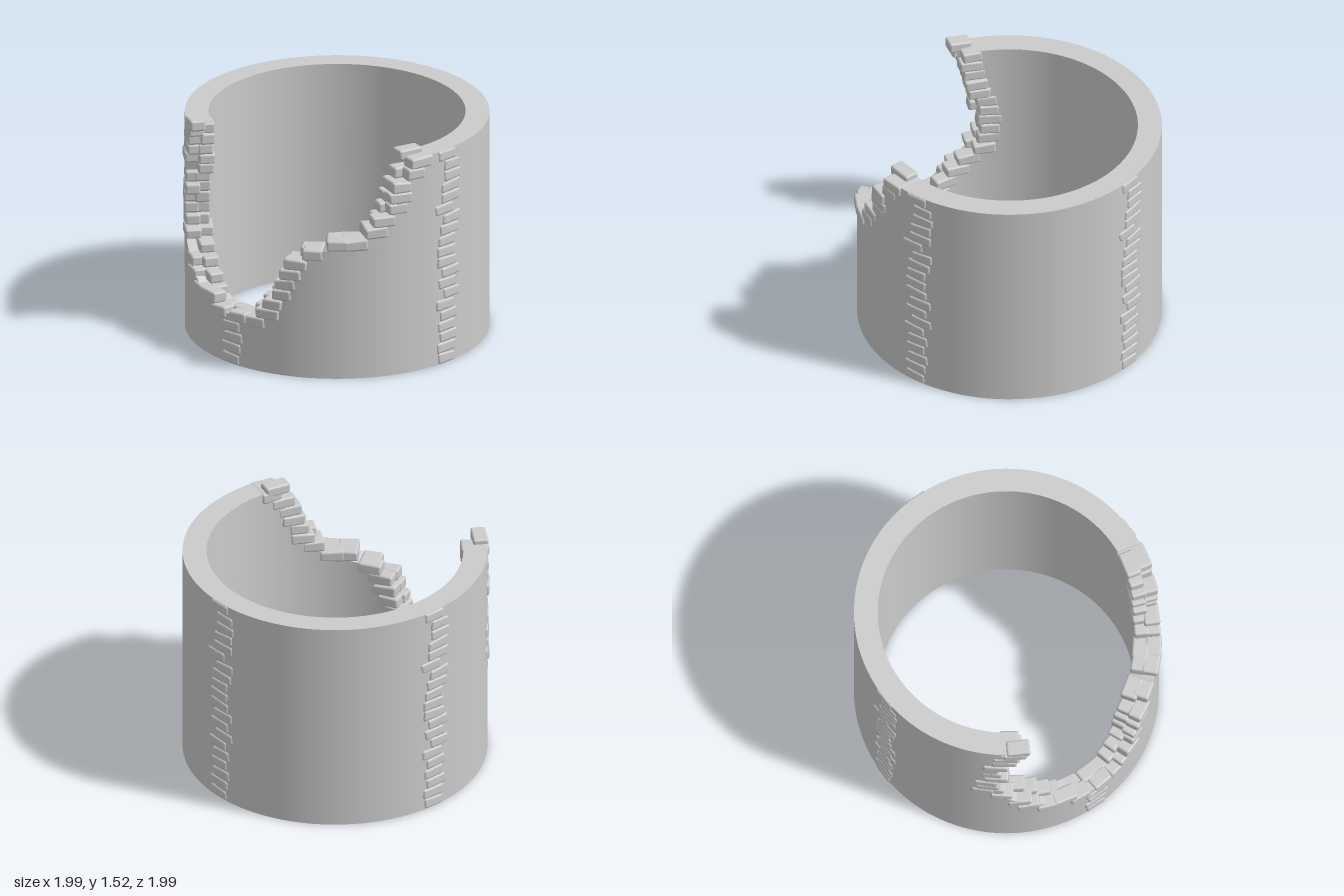
import * as THREE from 'three';
import { ParametricGeometry } from 'three/addons/geometries/ParametricGeometry.js';
import { RoundedBoxGeometry } from 'three/addons/geometries/RoundedBoxGeometry.js';

const OUTER = 0.985, INNER = 0.83, HEIGHT = 1.475, COURSE = HEIGHT / 20;
const RAD = Math.PI / 180;

// Outline of the breach as [angle, height]; angle 0 is -x, 90 is the front
const LOW = [5, 0.32];
const BACK_EDGE = [LOW, [-8, 0.35], [-20, 0.42], [-30, 0.55], [-40, 0.68], [-46, 0.8],
  [-45, 0.95], [-41, 1.1], [-38, 1.3], [-34, HEIGHT]];
const FRONT_EDGE = [LOW, [12, 0.36], [18, 0.5], [24, 0.66], [28, 0.78], [38, 0.88], [47, 0.9],
  [55, 0.96], [61, 1.03], [65, 1.12], [68, 1.25], [72, 1.34], [76, 1.42], [80, HEIGHT]];

let seed = 7;
function rand(range) {
  seed = (seed * 16807) % 2147483647;
  return (seed / 2147483647 * 2 - 1) * range;
}

// Angle of a breach edge at a given height
function edgeAngle(edge, y) {
  if (y <= LOW[1]) return LOW[0];
  for (let i = 1; i < edge.length; i++) {
    const [a0, y0] = edge[i - 1], [a1, y1] = edge[i];
    if (y <= y1) return a0 + (a1 - a0) * (y - y0) / (y1 - y0);
  }
  return edge[edge.length - 1][0];
}

function polar(angle, r, y, target = new THREE.Vector3()) {
  return target.set(-r * Math.cos(angle * RAD), y, r * Math.sin(angle * RAD));
}

export function createModel() {
  const model = new THREE.Group();
  model.name = 'ruinedRoundTower';
  const stone = new THREE.MeshStandardMaterial({ color: 0xcccccc, roughness: 0.9 });
  const mix = THREE.MathUtils.lerp;

  // Wall surfaces, spanning from the front breach edge round to the back one
  const wall = new THREE.Group();
  wall.name = 'wall';
  model.add(wall);
  function surface(name, nu, nv, rule) {
    const mesh = new THREE.Mesh(new ParametricGeometry(rule, nu, nv), stone);
    mesh.name = name;
    wall.add(mesh);
  }
  const around = (t, y) => mix(edgeAngle(FRONT_EDGE, y), edgeAngle(BACK_EDGE, y) + 360, t);
  const upper = v => mix(LOW[1], HEIGHT, v);
  surface('outerFaceLower', 128, 1, (u, v, p) => polar(LOW[0] + 360 * u, OUTER, LOW[1] * v, p));
  surface('innerFaceLower', 128, 1, (u, v, p) => polar(LOW[0] - 360 * u, INNER, LOW[1] * v, p));
  surface('outerFaceUpper', 128, 60, (u, v, p) => polar(around(u, upper(v)), OUTER, upper(v), p));
  surface('innerFaceUpper', 128, 60, (u, v, p) => polar(around(1 - u, upper(v)), INNER, upper(v), p));
  surface('rim', 128, 1, (u, v, p) => polar(around(u, HEIGHT), mix(OUTER, INNER, v), HEIGHT, p));
  surface('base', 128, 1, (u, v, p) => polar(360 * u, mix(INNER, OUTER, v), 0, p));
  surface('frontBreachFace', 1, 60, (u, v, p) =>
    polar(edgeAngle(FRONT_EDGE, upper(v)), mix(INNER, OUTER, u), upper(v), p));
  surface('backBreachFace', 1, 60, (u, v, p) =>
    polar(edgeAngle(BACK_EDGE, upper(v)), mix(OUTER, INNER, u), upper(v), p));

  // One worn stone, slightly skewed, with its local z pointing outward
  function brick(parent, name, angle, r, y, w, h, d, tilt = 0) {
    const geo = new RoundedBoxGeometry(w, h, d, 2, 0.015);
    const pos = geo.attributes.position;
    const taper = rand(1.2), skew = rand(0.12), slope = rand(0.05);
    for (let i = 0; i < pos.count; i++) {
      const x = pos.getX(i), py = pos.getY(i);
      pos.setX(i, x * (1 + taper * py) + skew * py);
      pos.setY(i, py * (1 + slope * x / w * 4) + slope * x);
    }
    const mesh = new THREE.Mesh(geo, stone);
    mesh.name = name;
    polar(angle, r, y, mesh.position);
    mesh.rotation.set(0, (angle - 90) * RAD, tilt, 'YXZ');
    parent.add(mesh);
  }

  // Four vertical strips of exposed stones, the one under the breach cut short
  const shifts = [-0.02, -0.02, 0, -0.02, 0, -0.03, 0.03, -0.01, 0.02, -0.015,
    -0.02, -0.015, 0.01, 0.03, -0.04, 0.02, 0.02, 0.04, 0.035, -0.01];
  ['right', 'front', 'left', 'back'].forEach((side, k) => {
    const strip = new THREE.Group();
    strip.name = side + 'StoneStrip';
    model.add(strip);
    seed = 11;
    shifts.slice(0, k === 0 ? 4 : 20).forEach((s, i) =>
      brick(strip, 'stripStone', 90 * k + s / OUTER / RAD, 0.957, (i + 0.5) * COURSE,
        0.16 + rand(0.012), 0.071, 0.072));
  });

  // Two rings of stones stepping along the breach, one outside and one inside
  const outline = [...BACK_EDGE.slice().reverse(), ...FRONT_EDGE.slice(1)];
  [['outer', 0.944, 0], ['inner', 0.868, 0.5]].forEach(([side, r, start]) => {
    const ring = new THREE.Group();
    ring.name = side + 'BreachStones';
    model.add(ring);
    let due = start;
    for (let i = 1; i < outline.length; i++) {
      const [a0, y0] = outline[i - 1], [a1, y1] = outline[i];
      const steps = Math.max(Math.abs(y1 - y0) / COURSE, Math.abs(a1 - a0) * RAD * r / 0.13);
      for (; due < steps; due++) {
        const t = due / steps, y = mix(y0, y1, t);
        const row = Math.min(19, Math.floor(y / COURSE)) + 0.5;
        brick(ring, 'breachStone', mix(a0, a1, t) + rand(1.8), r + rand(0.008), row * COURSE,
          0.15 + rand(0.02), 0.073, 0.102 + rand(0.008), rand(0.04));
      }
      due -= steps;
    }
  });

  // Loose stones lying on the rim at both ends of the breach
  brick(model, 'backRimStone', -32.5, 0.945, 1.48, 0.15, 0.07, 0.1, 0.03);
  brick(model, 'frontRimStone', 75, 0.862, 1.477, 0.17, 0.07, 0.1, -0.02);

  return model;
}
